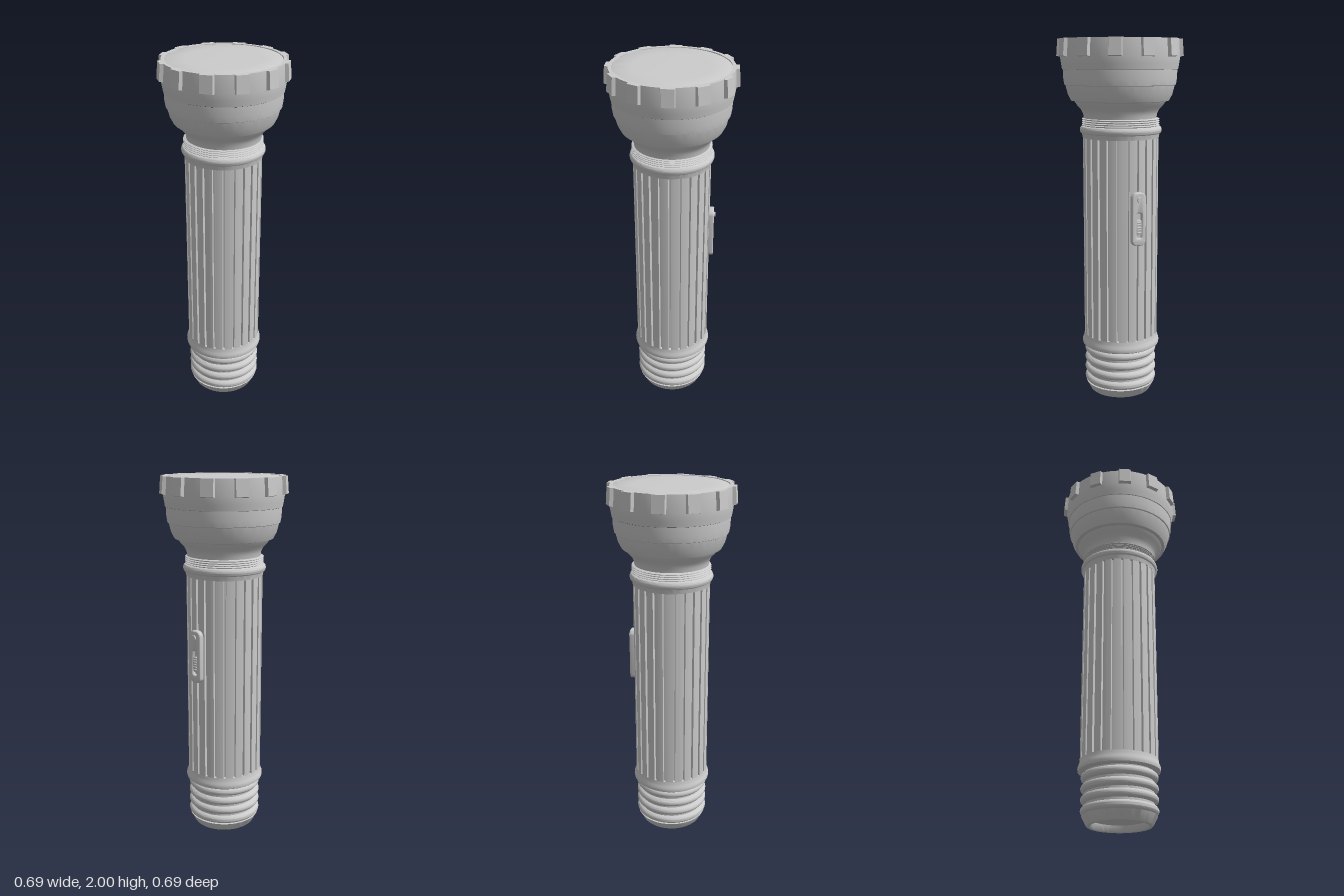
import * as THREE from 'three';
import { toCreasedNormals } from 'three/addons/utils/BufferGeometryUtils.js';

const material = new THREE.MeshStandardMaterial({ color: 0xcccccc, roughness: 0.6 });

function addMesh(parent, name, geometry, crease = 0.6) {
  const mesh = new THREE.Mesh(crease ? toCreasedNormals(geometry, crease) : geometry, material);
  mesh.name = name;
  parent.add(mesh);
  return mesh;
}

// Turned part: [radius, y] pairs from bottom to top
function turned(parent, name, points, crease = 0.6) {
  const profile = points.map(([r, y]) => new THREE.Vector2(r, y));
  return addMesh(parent, name, new THREE.LatheGeometry(profile, 72), crease);
}

// Half-round bulge as profile points
function bulge(r, depth, y0, y1, steps = 10) {
  return Array.from({ length: steps + 1 }, (_, i) => {
    const t = i / steps;
    return [r + depth * Math.sqrt(Math.sin(Math.PI * t)), y0 + (y1 - y0) * t];
  });
}

// Cross-section of the grip: a circle cut by narrow lengthwise grooves
function flutedShape(count, radius, depth, halfWidth) {
  const shape = new THREE.Shape();
  const step = (Math.PI * 2) / count;
  const half = halfWidth / radius;
  const put = (r, a, first) => shape[first ? 'moveTo' : 'lineTo'](r * Math.cos(a), r * Math.sin(a));
  for (let i = 0; i < count; i++) {
    const a = i * step;
    put(radius - depth, a - half * 0.7, i === 0);
    put(radius - depth, a + half * 0.7);
    for (let k = 0; k <= 4; k++) put(radius, a + half + ((step - 2 * half) * k) / 4);
  }
  shape.closePath();
  return shape;
}

// Upright rounded rectangle around (0, cy)
function roundedRect(w, h, r, cy = 0, Type = THREE.Shape) {
  const s = new Type();
  s.absarc(w / 2 - r, cy + h / 2 - r, r, 0, Math.PI / 2);
  s.absarc(-w / 2 + r, cy + h / 2 - r, r, Math.PI / 2, Math.PI);
  s.absarc(-w / 2 + r, cy - h / 2 + r, r, Math.PI, Math.PI * 1.5);
  s.absarc(w / 2 - r, cy - h / 2 + r, r, Math.PI * 1.5, Math.PI * 2);
  s.closePath();
  return s;
}

// Tapered grip lug: narrower on its outer face, leaning out towards the bottom
function lugGeometry() {
  const geo = new THREE.BoxGeometry(1, 1, 1);
  const p = geo.attributes.position;
  for (let i = 0; i < p.count; i++) {
    const outer = p.getZ(i) > 0;
    const top = p.getY(i) > 0;
    p.setXYZ(
      i,
      Math.sign(p.getX(i)) * (outer ? 0.033 : 0.041),
      top ? 2 : outer ? 1.91 : 1.9,
      outer ? (top ? 0.337 : 0.344) : 0.3
    );
  }
  geo.computeVertexNormals();
  return geo;
}

function buildHead() {
  const head = new THREE.Group();
  head.name = 'head';

  // Reflector housing stepping down into the neck
  turned(head, 'reflectorHousing', [
    [0.17, 1.575], [0.2, 1.575], [0.203, 1.6], [0.215, 1.625], [0.235, 1.645], [0.25, 1.668],
    [0.268, 1.672], [0.285, 1.705], [0.298, 1.755], [0.304, 1.758], [0.309, 1.79], [0.311, 1.838],
  ], 0.5);

  // Bezel ring with its front rim
  turned(head, 'bezel', [
    [0.309, 1.838], [0.315, 1.84], [0.32, 1.87], [0.326, 1.91], [0.321, 2], [0.303, 2], [0.3, 1.99],
  ], 0.5);

  // Twelve lugs around the bezel
  const lugs = new THREE.Group();
  lugs.name = 'bezelLugs';
  const lug = lugGeometry();
  for (let i = 0; i < 12; i++) addMesh(lugs, 'bezelLug', lug, 0.1).rotation.y = (i * Math.PI) / 6;
  head.add(lugs);

  // Almost flush lens
  turned(head, 'lens', [[0.304, 1.994], [0.295, 1.998], [0.2, 1.999], [0, 1.9995]]);
  return head;
}

function buildBody() {
  const body = new THREE.Group();
  body.name = 'body';
  body.position.x = -0.004;

  // Fluted grip
  const grip = new THREE.ExtrudeGeometry(flutedShape(24, 0.209, 0.014, 0.007), {
    depth: 1.15, bevelEnabled: false, curveSegments: 4,
  });
  grip.rotateX(-Math.PI / 2);
  grip.translate(0, 0.335, 0);
  addMesh(body, 'flutedGrip', grip);

  // Upper collar, rounded
  turned(body, 'upperCollar', [
    [0.19, 1.468], [0.21, 1.47], [0.214, 1.49], ...bulge(0.215, 0.011, 1.494, 1.533), [0.19, 1.536],
  ], 0.7);

  // Fine screw threads under the head
  const threads = [[0.19, 1.53]];
  for (let i = 0; i < 4; i++) {
    const y = 1.535 + i * 0.011;
    threads.push([0.203, y], [0.214, y + 0.004], [0.214, y + 0.006], [0.203, y + 0.01]);
  }
  threads.push([0.19, 1.58]);
  turned(body, 'neckThreads', threads, 0.3);

  // Lower collar
  turned(body, 'lowerCollar', [
    [0.185, 0.278], [0.212, 0.279], [0.219, 0.284], [0.221, 0.295], [0.219, 0.307],
    [0.214, 0.318], [0.211, 0.33], [0.209, 0.345], [0.19, 0.347],
  ], 0.7);
  return body;
}

function buildTailCap() {
  const cap = new THREE.Group();
  cap.name = 'tailCap';
  cap.position.x = -0.002;

  // Recessed base, bevelled rim and four rounded rings
  const profile = [[0, 0.035], [0.142, 0.035], [0.148, 0.004], [0.152, 0], [0.17, 0], [0.175, 0.005], [0.198, 0.05]];
  for (let i = 0; i < 4; i++) {
    const y = 0.052 + i * 0.058;
    profile.push(...bulge(0.183, 0.022, y, y + 0.046));
  }
  profile.push([0.183, 0.285]);
  turned(cap, 'ringedCap', profile, 0.7);
  return cap;
}

function buildSwitch() {
  const group = new THREE.Group();
  group.name = 'switch';

  // Plate with a slot for the slider
  const plate = roundedRect(0.07, 0.28, 0.024);
  plate.holes.push(roundedRect(0.044, 0.15, 0.018, -0.035, THREE.Path));
  addMesh(group, 'switchPlate', new THREE.ExtrudeGeometry(plate, {
    depth: 0.03, bevelThickness: 0.007, bevelSize: 0.006, bevelSegments: 3, curveSegments: 8,
  }), 0.7);

  // Slot floor and ridged slider
  const floor = addMesh(group, 'slotFloor', new THREE.BoxGeometry(0.05, 0.16, 0.02));
  floor.position.set(0, -0.035, 0.008);
  const slider = addMesh(group, 'slider', new THREE.ExtrudeGeometry(roundedRect(0.032, 0.08, 0.01), {
    depth: 0.014, bevelThickness: 0.003, bevelSize: 0.002, bevelSegments: 2, curveSegments: 6,
  }));
  slider.position.set(0, -0.045, 0.015);
  for (let i = 0; i < 5; i++) {
    const ridge = addMesh(group, 'sliderRidge', new THREE.CapsuleGeometry(0.004, 0.02, 4, 8), 0);
    ridge.rotation.z = Math.PI / 2;
    ridge.position.set(0, -0.073 + i * 0.014, 0.033);
  }

  // Round signal button above the slider
  const button = addMesh(group, 'signalButton', new THREE.CylinderGeometry(0.013, 0.016, 0.022, 24));
  button.rotation.x = Math.PI / 2;
  button.position.set(0, 0.108, 0.034);

  // Set on the back of the grip
  group.rotation.y = Math.PI;
  group.position.set(-0.004, 1.046, -0.196);
  return group;
}

export function createModel() {
  const model = new THREE.Group();
  model.name = 'flashlight';
  model.add(buildHead(), buildBody(), buildTailCap(), buildSwitch());
  return model;
}
